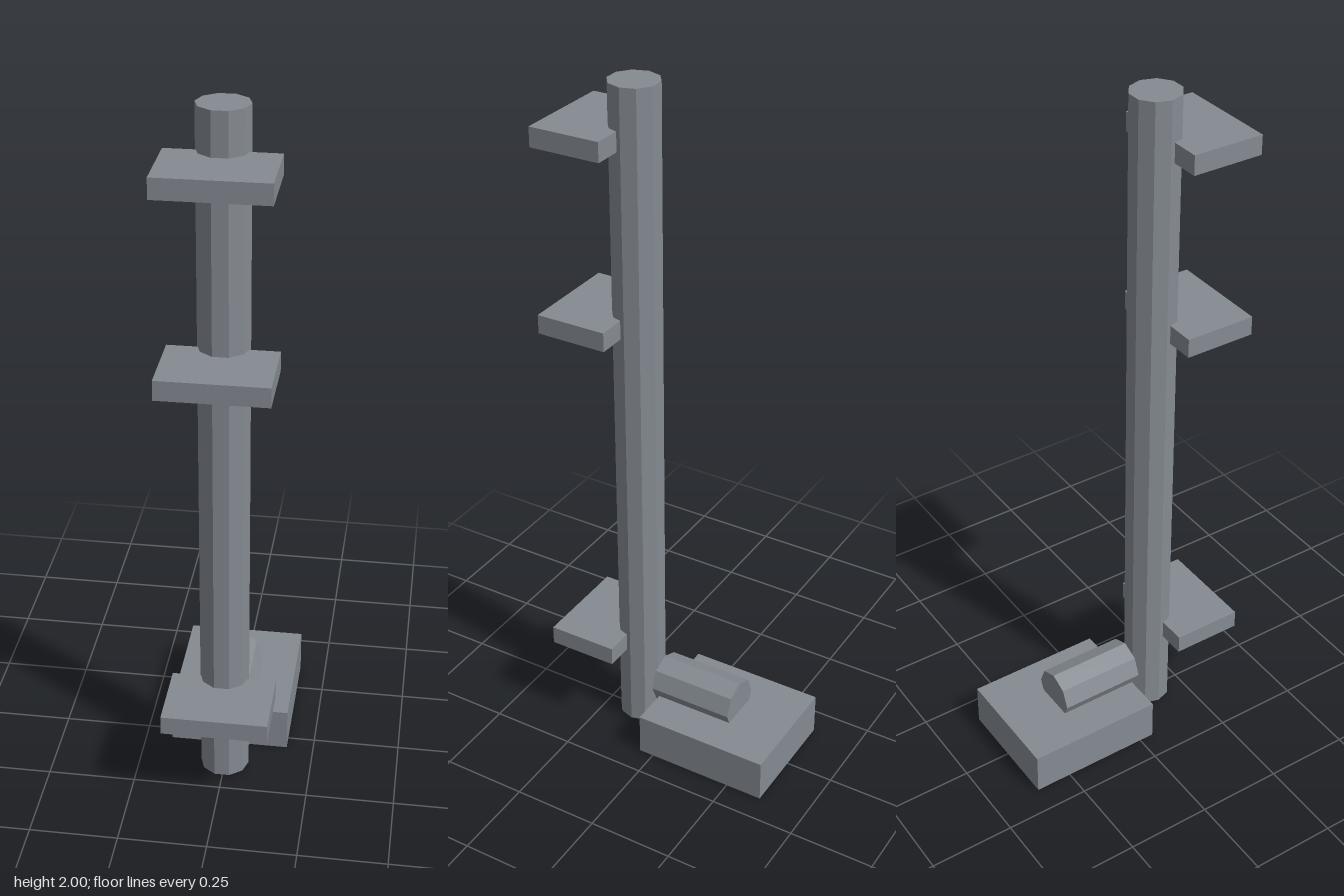
import * as THREE from 'three';

export function createModel() {
  const group = new THREE.Group();
  const greyMetal = new THREE.MeshStandardMaterial({ color: 0x858b92 });
  greyMetal.name = 'greyMetal';
  greyMetal.flatShading = true;

  const add = (name, geometry, x, y, z) => {
    const mesh = new THREE.Mesh(geometry, greyMetal);
    mesh.name = name;
    mesh.position.set(x, y, z);
    group.add(mesh);
    return mesh;
  };

  // Ten-sided upright pole, corners pointing left and right
  const pole = new THREE.CylinderGeometry(0.07, 0.07, 1.99, 10).rotateY(Math.PI / 2);
  add('pole', pole, 0, 1.005, 0.138);

  // Flat brackets sticking out to the front
  const bracket = new THREE.BoxGeometry(0.296, 0.055, 0.206);
  [['lowerBracket', 0.292], ['middleBracket', 1.33], ['upperBracket', 1.856]]
    .forEach(([name, y]) => add(name, bracket, 0, y, 0.254));

  // Base block behind the pole
  add('baseBlock', new THREE.BoxGeometry(0.344, 0.127, 0.403), 0, 0.0635, -0.1575);

  // Eight-sided barrel lying half sunk in the block, one edge on top
  const barrel = new THREE.CylinderGeometry(0.073, 0.073, 0.254, 8).rotateX(Math.PI / 2);
  add('barrel', barrel, 0, 0.158, -0.067);

  return group;
}
